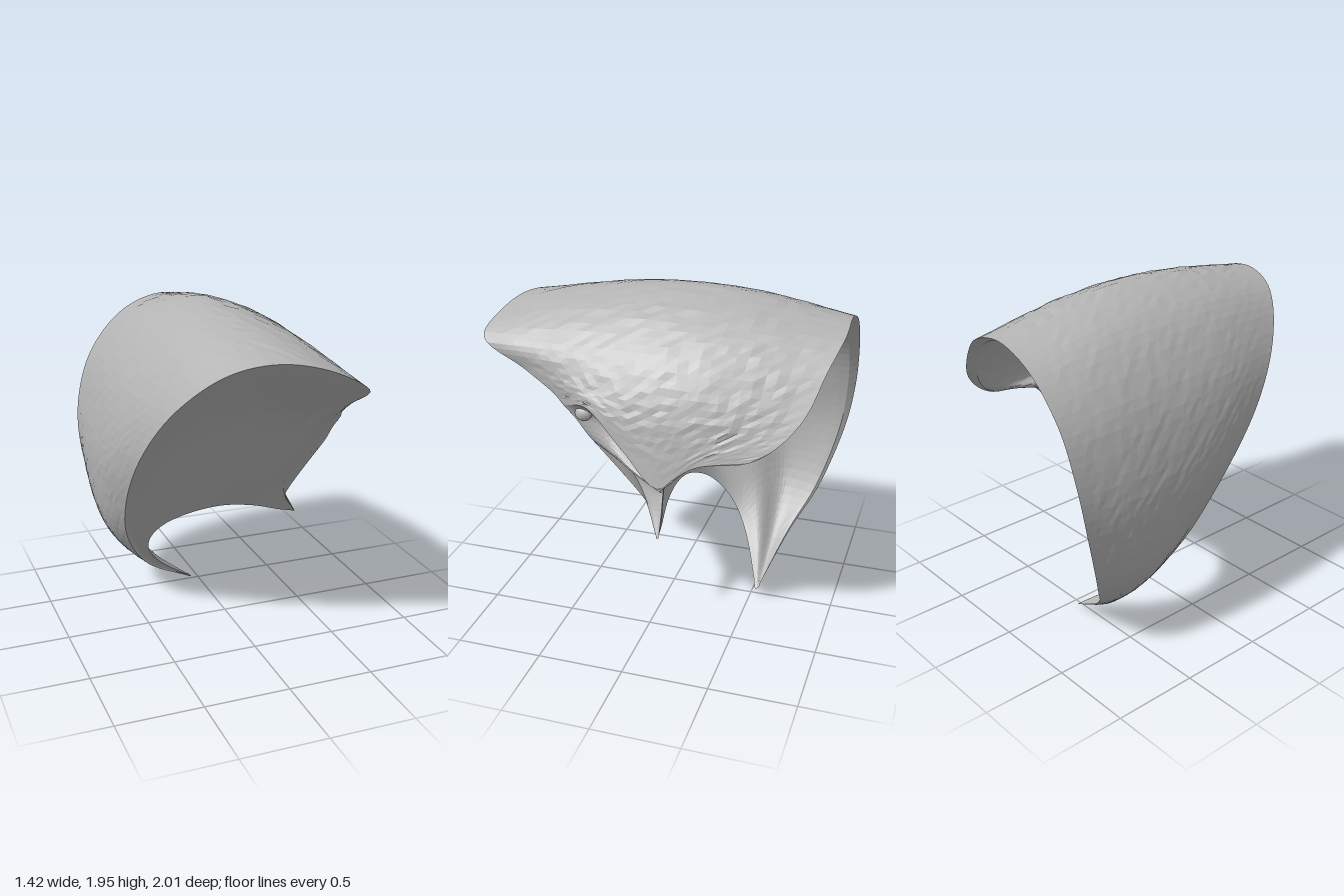
import * as THREE from 'three';

const V = (p) => new THREE.Vector3(...p);
const curve = (pts) => new THREE.CatmullRomCurve3(pts);
const CENTRE = new THREE.Vector3(0, 1, -0.4);
const shrink = (p, k) => CENTRE.clone().lerp(p, k);
const STEP = 6; // segments between neighbouring cross-sections

// Cross-sections of the outer shell, each from the front edge to the back rim,
// going from the lower tip, up the side, over the crown and down to the lip.
const SHELL = [
  [[-0.05, 0.005, -0.51], [-0.04, 0, -0.52], [-0.04, 0, -0.525], [-0.045, 0.005, -0.53]],
  [[-0.37, 0.2, -0.4], [-0.41, 0.22, -0.48], [-0.42, 0.23, -0.56], [-0.4, 0.25, -0.65]],
  [[-0.56, 0.5, -0.2], [-0.62, 0.49, -0.4], [-0.62, 0.5, -0.6], [-0.57, 0.5, -0.79]],
  [[-0.63, 0.85, 0.05], [-0.69, 0.87, -0.2], [-0.7, 0.88, -0.6], [-0.66, 0.9, -0.92]],
  [[-0.61, 1.25, 0.37], [-0.67, 1.22, 0], [-0.68, 1.2, -0.5], [-0.645, 1.2, -0.97]],
  [[-0.49, 1.55, 0.61], [-0.56, 1.55, 0.1], [-0.57, 1.54, -0.5], [-0.54, 1.5, -0.99]],
  [[-0.28, 1.76, 0.8], [-0.33, 1.83, 0.2], [-0.34, 1.82, -0.5], [-0.32, 1.74, -1]],
  [[-0.05, 1.82, 0.9], [-0.07, 1.93, 0.2], [-0.06, 1.94, -0.3], [-0.07, 1.83, -1]],
  [[0.2, 1.78, 0.97], [0.2, 1.87, 0.3], [0.2, 1.87, -0.3], [0.13, 1.79, -1]],
  [[0.41, 1.67, 1], [0.44, 1.69, 0.35], [0.44, 1.69, -0.25], [0.32, 1.65, -0.94]],
  [[0.44, 1.52, 0.75], [0.55, 1.52, 0.35], [0.59, 1.47, -0.2], [0.48, 1.44, -0.86]],
].map((r) => r.map(V));

const LIP = [
  [[0.49, 1.41, 0.55], [0.6, 1.43, 0.3], [0.655, 1.27, -0.1], [0.58, 1.29, -0.73]],
  [[0.51, 1.36, 0.49], [0.6, 1.4, 0.32], [0.66, 1.2, 0.09], [0.7, 1.02, -0.12], [0.66, 1.15, -0.3], [0.62, 1.21, -0.6]],
].map((r) => r.map(V));

// Recess under the lip, the ridge below it, and the hollow channel to the hook
const CHANNEL = [
  [[0.51, 1.36, 0.49], [0.6, 1.4, 0.32], [0.66, 1.2, 0.09], [0.7, 1.02, -0.12]],
  [[0.5, 1.29, 0.43], [0.51, 1.3, 0.3], [0.56, 1.15, 0.1], [0.69, 1.015, -0.13]],
  [[0.47, 1.14, 0.33], [0.55, 1.12, 0.2], [0.63, 1.06, 0.04], [0.7, 1, -0.14]],
  [[0.37, 1.02, 0.23], [0.41, 1, 0.12], [0.45, 0.985, 0], [0.48, 0.98, -0.09]],
  [[0.33, 0.9, 0.15], [0.35, 0.88, 0.08], [0.37, 0.86, 0.01], [0.38, 0.85, -0.05]],
  [[0.37, 0.75, 0.06], [0.39, 0.74, 0.02], [0.4, 0.74, -0.02], [0.41, 0.74, -0.05]],
  [[0.485, 0.585, -0.04], [0.49, 0.58, -0.045], [0.49, 0.58, -0.05], [0.49, 0.585, -0.055]],
].map((r) => r.map(V));

// Lower arch where the hollow meets the front face, from tip to hook
const ARCH = curve([
  [-0.04, 0, -0.52], [-0.29, 0.2, -0.4], [-0.41, 0.4, -0.27], [-0.36, 0.57, -0.14], [-0.2, 0.67, -0.05],
  [0, 0.7, -0.02], [0.2, 0.67, -0.02], [0.38, 0.61, -0.04], [0.49, 0.58, -0.05],
].map(V));
const archPoint = (i, n) => ARCH.getPoint((i / n) ** 0.7);

// Small repeatable roughness
const hash = (i, j) => {
  const s = Math.sin(i * 127.1 + j * 311.7) * 43758.5453;
  return s - Math.floor(s) - 0.5;
};

// Smooth surface through a list of cross-sections, roughened away from its edges
function loft(rows, nv, rough = 0) {
  const nu = (rows.length - 1) * STEP;
  const lines = rows.map((r) => curve(r).getSpacedPoints(nv));
  const pos = [], index = [];
  for (let j = 0; j <= nv; j++) {
    const c = curve(lines.map((l) => l[j]));
    for (let i = 0; i <= nu; i++) {
      const p = c.getPoint(i / nu);
      const fade = Math.min(1, i / 8, (nu - i) / 8, j / 3, (nv - j) / 3);
      const amount = rough * fade * (p.x > -0.1 ? 1 : 0.4) * hash(i, j);
      p.add(p.clone().sub(CENTRE).normalize().multiplyScalar(amount));
      pos.push(p.x, p.y, p.z);
      if (i < nu && j < nv) {
        const a = j * (nu + 1) + i, b = a + nu + 1;
        index.push(a, a + 1, b, b, a + 1, b + 1);
      }
    }
  }
  const g = new THREE.BufferGeometry();
  g.setAttribute('position', new THREE.Float32BufferAttribute(pos, 3));
  g.setIndex(index);
  g.computeVertexNormals();
  return g;
}

// Inside of the bowl: from the back rim, forward under the shell, down to the arch
function bowlRows() {
  const rows = [...SHELL, LIP[0]].map((r, i) => {
    const c = curve(r), rim = r[r.length - 1];
    const grow = Math.min(1, i / 4); // the wall thins out towards the tip
    const deep = shrink(c.getPointAt(0.3), 0.82);
    const low = rim.clone().lerp(archPoint(i, 18), 0.7);
    return [rim, shrink(rim, 1 - 0.035 * grow), shrink(c.getPointAt(0.6), 1 - 0.06 * grow), low.lerp(deep, grow)];
  });
  rows.push(...[
    [[0.62, 1.21, -0.6], [0.58, 1.21, -0.45], [0.53, 1.18, -0.12], [0.3, 0.95, 0.03]],
    [[0.66, 1.15, -0.3], [0.58, 1.12, -0.2], [0.45, 1.03, -0.04], [0.32, 0.8, 0]],
    [[0.7, 1.01, -0.13], [0.5, 1, -0.08], [0.35, 0.88, -0.02]],
    [[0.48, 0.98, -0.09], [0.38, 0.9, -0.06], [0.33, 0.78, -0.03]],
    [[0.38, 0.85, -0.05], [0.36, 0.74, -0.04]],
    [[0.41, 0.74, -0.05], [0.41, 0.67, -0.05]],
    [[0.49, 0.585, -0.055]],
  ].map((r) => r.map(V)));
  return rows.map((r, i) => [...r, archPoint(i, rows.length - 1)]);
}

// Slanted cut face, from the outer front edge down to the lower arch
function frontRows() {
  const edge = [...SHELL, ...LIP, ...CHANNEL.slice(1)].map((r) => r[0]);
  return edge.map((top, i) => {
    const bottom = archPoint(i, edge.length - 1);
    const mids = [0.3, 0.65].map((t) => {
      const p = top.clone().lerp(bottom, t);
      p.z = Math.min(p.z, -0.515 + 0.11 * p.x + 0.71 * p.y);
      return p;
    });
    return [top, ...mids, bottom];
  });
}

export function createModel() {
  const group = new THREE.Group();
  const grey = new THREE.MeshStandardMaterial({ color: 0xb4b4b4, flatShading: true, side: THREE.DoubleSide });
  grey.name = 'stone grey';
  const add = (name, geometry) => {
    const mesh = new THREE.Mesh(geometry, grey);
    mesh.name = name;
    group.add(mesh);
    return mesh;
  };
  add('outerShell', loft([...SHELL, ...LIP], 32, 0.009));
  add('innerBowl', loft(bowlRows(), 28, 0.003));
  add('socketAndChannel', loft(CHANNEL, 16));
  add('frontFace', loft(frontRows(), 16));

  // Small flattened ball set in the recess
  const eyeball = add('eyeball', new THREE.SphereGeometry(0.05, 14, 10));
  eyeball.position.set(0.525, 1.33, 0.365);
  eyeball.scale.set(0.7, 0.85, 1);
  return group;
}
